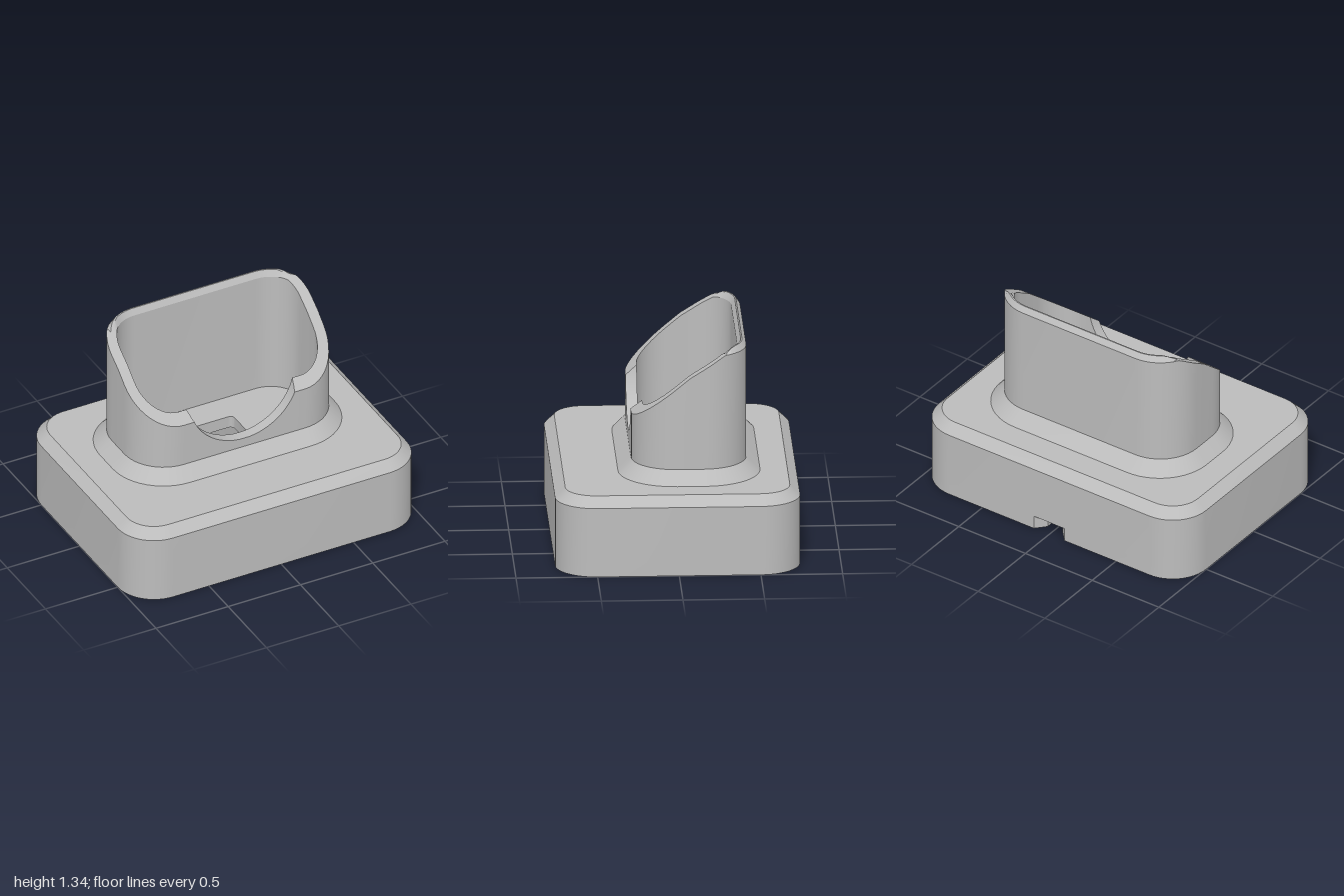
import * as THREE from 'three';
import { mergeGeometries, toCreasedNormals } from 'three/addons/utils/BufferGeometryUtils.js';

const CORNER = 12;

// Right half of a rounded rectangle in plan, running from front to back as [x, z]
function half(hx, zb, zf, r, frontXs = [], sideZs = []) {
  const pts = frontXs.map(x => [x, zf]);
  for (let i = 0; i <= CORNER; i++) {
    const t = (i / CORNER) * Math.PI / 2;
    pts.push([hx - r + r * Math.sin(t), zf - r + r * Math.cos(t)]);
  }
  for (const z of sideZs) pts.push([hx, z]);
  for (let i = 0; i <= CORNER; i++) {
    const t = (i / CORNER) * Math.PI / 2;
    pts.push([hx - r + r * Math.cos(t), zb + r - r * Math.sin(t)]);
  }
  return pts;
}
const mirror = h => [...h, ...[...h].reverse().map(([x, z]) => [-x, z])];
const rect = (...args) => mirror(half(...args));

// Lift a plan outline to a height, given as a number or a rule of x and z
const at = (outline, y) =>
  outline.map(([x, z]) => [x, typeof y === 'number' ? y : y(x, z), z]);

// Skin between successive closed rings
function loft(rings) {
  const pos = [];
  for (let k = 0; k + 1 < rings.length; k++) {
    const a = rings[k], b = rings[k + 1];
    for (let i = 0; i < a.length; i++) {
      const j = (i + 1) % a.length;
      pos.push(...a[i], ...a[j], ...b[j], ...a[i], ...b[j], ...b[i]);
    }
  }
  const g = new THREE.BufferGeometry();
  g.setAttribute('position', new THREE.Float32BufferAttribute(pos, 3));
  return g;
}

// Flat horizontal face with holes, looking up or down
function cap(outline, holes, y, up) {
  const v = o => o.map(([x, z]) => new THREE.Vector2(x, -z));
  const shape = new THREE.Shape(v(outline));
  shape.holes = holes.map(h => new THREE.Path(v(h)));
  const src = new THREE.ShapeGeometry(shape);
  src.rotateX(-Math.PI / 2).translate(0, y, 0);
  if (!up) src.index.array.reverse();
  const g = src.toNonIndexed();
  g.deleteAttribute('uv');
  g.deleteAttribute('normal');
  return g;
}

// Saddle cut of the cup: sloping top, plus a round thumb notch in the front wall
const TOP = 1.335, NOTCH_R = 0.376, NOTCH_Y = 1.021;
function slope(z) {
  return z > -0.08
    ? 0.875 + (0.27 - z) * (0.29 / 0.35)
    : Math.min(TOP, 1.165 + (-0.08 - z) * 0.63);
}
const rimHeight = limit => (x, z) => {
  let y = Math.min(limit, slope(z));
  if (z > 0.1 && Math.abs(x) < NOTCH_R) {
    y = Math.min(y, NOTCH_Y - Math.sqrt(NOTCH_R ** 2 - x * x));
  }
  return y;
};

// Cup outline whose front samples follow the notch where it meets the rim
function cupOutline(hx, zb, zf, r, rimZ = zf) {
  const edge = Math.sqrt(NOTCH_R ** 2 - (NOTCH_Y - slope(rimZ)) ** 2);
  const xs = [];
  for (let i = 1; i <= 16; i++) xs.push(edge * Math.sin((i / 16) * Math.PI / 2));
  return rect(hx, zb, zf, r, xs, [-0.08]);
}

export function createModel() {
  const model = new THREE.Group();
  const grey = new THREE.MeshStandardMaterial({ color: 0xbcbcbc });
  grey.name = 'grey plastic';
  const add = (name, parts) => {
    const mesh = new THREE.Mesh(toCreasedNormals(mergeGeometries(parts), 0.5), grey);
    mesh.name = name;
    model.add(mesh);
  };

  const SLOT = 0.09, POCKET = 0.4, FLOOR = 0.48, DECK = 0.5, FOOT = 0.035;

  // Plan outlines
  const baseHalf = half(1, -0.75, 0.75, 0.25);
  const base = mirror(baseHalf);
  const deck = rect(0.9375, -0.6875, 0.6875, 0.1875);
  const pocketHalf = half(0.172, -0.54, 0.045, 0.03);
  const pocket = mirror(pocketHalf);
  const port = rect(0.16, -0.19, 0.02, 0.03);
  const slotHalf = [[0.114, -0.75], [0.056, -0.685], [0.056, -0.54]];
  const underside = mirror([...baseHalf, ...slotHalf, ...[...pocketHalf].reverse()]);
  const collar = cupOutline(0.77, -0.52, 0.35, 0.35, 0.27);
  const outer = cupOutline(0.69, -0.435, 0.27, 0.27);
  const outerTop = cupOutline(0.665, -0.41, 0.245, 0.245);
  const innerTop = cupOutline(0.642, -0.402, 0.222, 0.222);
  const inner = cupOutline(0.62, -0.38, 0.2, 0.2);

  // Recesses for the feet
  const feet = [];
  for (const sx of [-1, 1]) for (const sz of [-1, 1]) {
    const ring = [];
    for (let i = 0; i < 40; i++) {
      const t = (i / 40) * Math.PI * 2;
      ring.push([0.75 * sx + 0.113 * Math.cos(t), 0.5 * sz - 0.113 * Math.sin(t)]);
    }
    feet.push(ring);
  }

  // Chamfered block, its underside and the cable slot leaving at the back
  add('base', [
    cap(underside, feet, 0, false),
    loft([at(underside, 0), at(underside, SLOT)]),
    cap(mirror([...slotHalf].reverse()), [], SLOT, false),
    loft([at(base, SLOT), at(base, 0.4375), at(deck, DECK)]),
    cap(deck, [collar], DECK, true),
  ]);

  add('footRecesses', feet.flatMap(f => [
    loft([at(f, FOOT), at(f, 0)]),
    cap(f, [], FOOT, false),
  ]));

  // Connector pocket below and the smaller port opening into the cup
  add('connectorPocket', [
    loft([at(pocket, POCKET), at(pocket, SLOT)]),
    cap(pocket, [port], POCKET, false),
    loft([at(port, FLOOR), at(port, POCKET)]),
  ]);

  // Flared collar, outer wall, bevelled rim and inner wall as one skin
  add('cradleCup', [
    loft([
      at(collar, DECK),
      at(outer, 0.585),
      at(outer, rimHeight(1.3)),
      at(outerTop, rimHeight(TOP)),
      at(innerTop, rimHeight(TOP)),
      at(inner, rimHeight(1.295)),
      at(inner, FLOOR),
    ]),
    cap(inner, [port], FLOOR, true),
  ]);

  return model;
}
